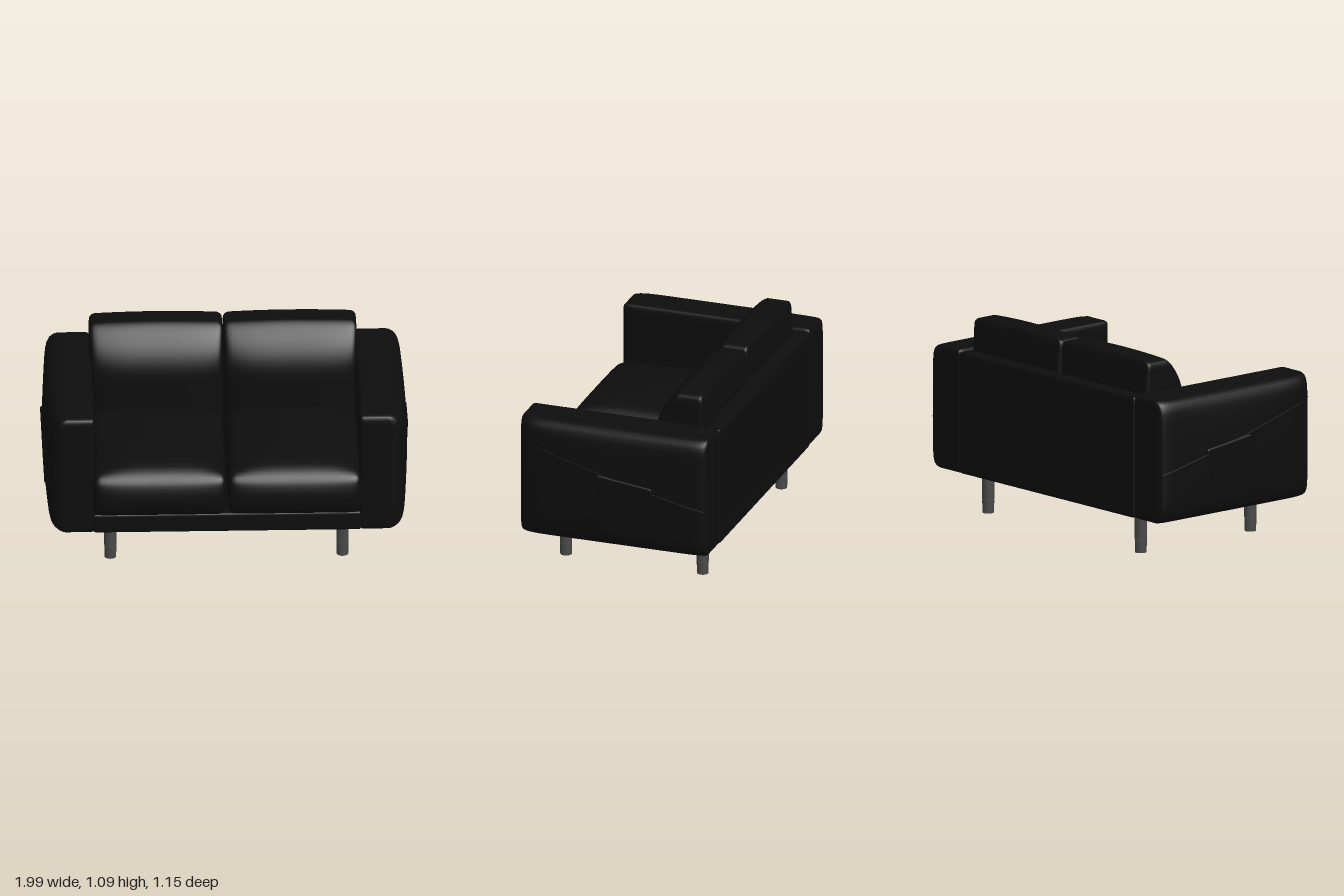
import * as THREE from 'three';
import { mergeVertices } from 'three/addons/utils/BufferGeometryUtils.js';

const fabric = new THREE.MeshStandardMaterial({ color: 0x0d0d0d });
const metal = new THREE.MeshStandardMaterial({ color: 0x484848 });

// Upholstered block: a rounded box between two corners, reshaped by a rule.
// The rule receives the point and its position as -1..1 along each axis.
function softBlock(name, [x0, x1], [y0, y1], [z0, z1], r, rule) {
  const size = new THREE.Vector3(x1 - x0, y1 - y0, z1 - z0);
  const centre = new THREE.Vector3(x0 + x1, y0 + y1, z0 + z1).multiplyScalar(0.5);
  const half = size.clone().multiplyScalar(0.5);
  const core = half.clone().subScalar(r);
  let geo = new THREE.BoxGeometry(2, 2, 2, 24, 24, 24);
  geo.deleteAttribute('uv');
  geo.deleteAttribute('normal');
  const pos = geo.attributes.position;
  const p = new THREE.Vector3(), inner = new THREE.Vector3(), n = new THREE.Vector3();
  for (let i = 0; i < pos.count; i++) {
    p.fromBufferAttribute(pos, i);
    // crowd the grid towards the edges, then round them
    p.set(...p.toArray().map(v => Math.sin(v * Math.PI / 2))).multiply(half);
    inner.copy(p).clamp(core.clone().negate(), core);
    p.sub(inner).normalize().multiplyScalar(r).add(inner);
    n.copy(p).divide(half);
    p.add(centre);
    if (rule) rule(p, n);
    pos.setXYZ(i, p.x, p.y, p.z);
  }
  geo = mergeVertices(geo, 1e-5);
  geo.computeVertexNormals();
  const mesh = new THREE.Mesh(geo, fabric);
  mesh.name = name;
  return mesh;
}

function seam(name, points, radius = 0.003) {
  const curve = new THREE.CatmullRomCurve3(points.map(p => new THREE.Vector3(...p)));
  const mesh = new THREE.Mesh(new THREE.TubeGeometry(curve, 40, radius, 6), fabric);
  mesh.name = name;
  return mesh;
}

// Outer face of an arm: fullest at mid height, drawn in at top, bottom and ends
function armOuterX(y, z) {
  const v = (y - 0.565) / 0.345, w = (z + 0.0275) / 0.5425;
  const belly = 0.027 * Math.max(0, 1 - v * v) * Math.max(0, 1 - w * w);
  return 0.965 + belly - 0.045 * v ** 14 - (w > 0 ? 0.04 : 0.015) * w ** 14;
}

function createArm(s) {
  const arm = new THREE.Group();
  arm.name = s > 0 ? 'leftArm' : 'rightArm';
  const xs = (a, b) => (s > 0 ? [a, b] : [-b, -a]);
  arm.add(softBlock('armBody', xs(0.72, 0.965), [0.22, 0.912], [-0.57, 0.515], 0.028, p => {
    const t = (s * p.x - 0.72) / 0.245;
    p.x = s * (0.72 + t * (armOuterX(p.y, p.z) - 0.72));
  }));
  // side pocket with a sloping mouth
  arm.add(softBlock('sidePocket', xs(0.95, 0.998), [0.29, 0.63], [-0.27, 0.05], 0.012, (p, n) => {
    const up = (n.y + 1) / 2;
    p.x -= s * 0.016 * (1 - up);
    p.y += up * 0.13 * (p.z + 0.11);
  }));
  // sloping seam across the outer face
  const line = [];
  for (let i = 0; i <= 16; i++) {
    const z = 0.5 - i * 1.06 / 16, y = 0.78 - i * 0.28 / 16;
    line.push([s * armOuterX(y, z), y, z]);
  }
  arm.add(seam('armSeam', line));
  return arm;
}

function createLeg(x, z) {
  const leg = new THREE.Group();
  leg.name = 'leg';
  const post = new THREE.Mesh(new THREE.CylinderGeometry(0.033, 0.033, 0.16, 24), metal);
  post.name = 'legPost';
  post.position.y = 0.154;
  const foot = new THREE.Mesh(new THREE.CylinderGeometry(0.033, 0.032, 0.071, 24), metal);
  foot.name = 'legFoot';
  foot.position.y = 0.0355;
  leg.add(post, foot);
  leg.position.set(x, 0, z);
  return leg;
}

export function createModel() {
  const sofa = new THREE.Group();
  sofa.name = 'sofa';

  // Frame
  sofa.add(softBlock('base', [-0.73, 0.73], [0.222, 0.335], [-0.55, 0.515], 0.015));
  sofa.add(softBlock('backPanel', [-0.727, 0.727], [0.222, 0.9], [-0.572, -0.475], 0.018));
  for (const y of [0.3, 0.87]) {
    sofa.add(seam('backSeam', [[-0.71, y, -0.571], [0, y, -0.571], [0.71, y, -0.571]]));
  }

  for (const s of [1, -1]) {
    sofa.add(createArm(s));
    const xs = (a, b) => (s > 0 ? [a, b] : [-b, -a]);

    // Seat cushion: crowned top and full front
    sofa.add(softBlock('seatCushion', xs(0.003, 0.732), [0.328, 0.57], [-0.45, 0.54], 0.045, (p, n) => {
      const across = 1 - n.x ** 4;
      if (n.y > 0) p.y += 0.057 * n.y * across * (1 - Math.max(0, n.z) ** 6);
      if (n.z > 0) p.z += 0.033 * n.z * (1 - n.y * n.y) * (0.5 + 0.5 * across);
    }));

    // Back cushion: full front that curves back to a narrow top
    sofa.add(softBlock('backCushion', xs(0.002, 0.727), [0.5, 1.075], [-0.48, -0.2], 0.035, (p, n) => {
      const t = Math.max(0, (p.y - 0.82) / 0.255);
      const front = (n.z + 1) / 2;
      p.z += 0.028 * front * (1 - n.x ** 4) * (1 - 0.6 * t);
      p.z = -0.45 + (p.z + 0.45) * (1 - 0.48 * t ** 2.2);
      if (n.y > 0) p.y += 0.01 * n.y ** 4 * (1 - n.x * n.x);
    }));

    for (const z of [0.353, -0.437]) sofa.add(createLeg(s * 0.632, z));
  }
  return sofa;
}
